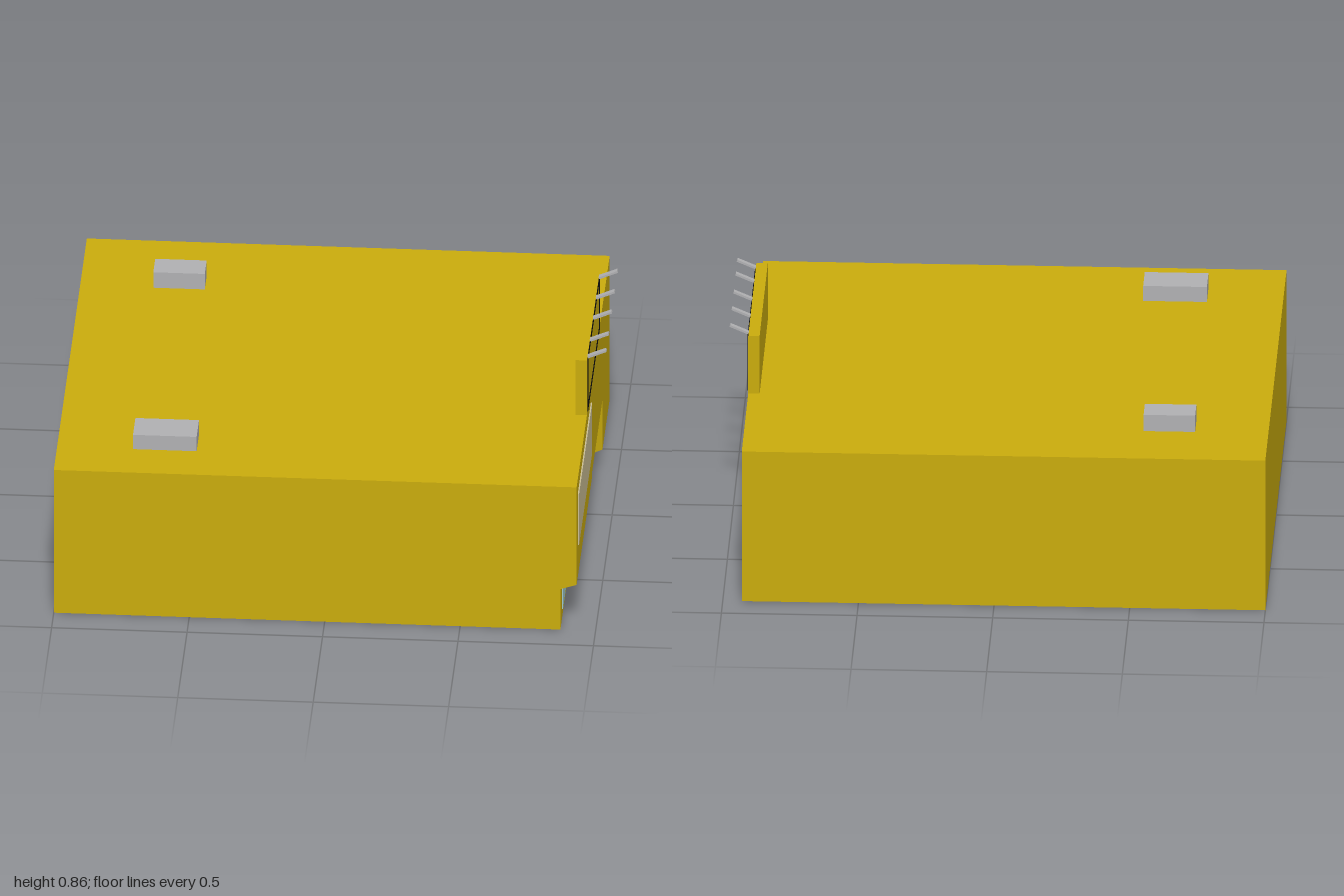
import * as THREE from 'three';

const material = (name, color) => {
  const m = new THREE.MeshStandardMaterial({ color });
  m.name = name;
  return m;
};

export function createModel() {
  const group = new THREE.Group();
  const mustard = material('mustard wall', 0xc9ab0d);
  const beige = material('beige panel', 0xc9bd93);
  const glass = material('pale blue glass', 0xa1c9c9);
  const grey = material('grey metal', 0xb0b0b2);
  const black = material('black trim', 0x0a0a0a);

  const add = (name, geometry, mat) => {
    const mesh = new THREE.Mesh(geometry, mat);
    mesh.name = name;
    group.add(mesh);
    return mesh;
  };
  // Box given by its lower and upper limits on each axis
  const block = (name, mat, [x0, x1], [y0, y1], [z0, z1]) => {
    const mesh = add(name, new THREE.BoxGeometry(x1 - x0, y1 - y0, z1 - z0), mat);
    mesh.position.set((x0 + x1) / 2, (y0 + y1) / 2, (z0 + z1) / 2);
    return mesh;
  };

  const inner = 0.87, outer = 0.93, roof = 0.6, half = 0.885;

  // Facade section with slanted ends and underside; each pair is [inner, outer]
  const facade = (name, front, back, bottom) => {
    const g = new THREE.BoxGeometry(1, 1, 1);
    const p = g.attributes.position;
    for (let i = 0; i < p.count; i++) {
      const k = p.getX(i) > 0 ? 1 : 0;
      const y = p.getY(i) > 0 ? roof : bottom[k];
      const z = p.getZ(i) > 0 ? front[k] : back[k];
      p.setXYZ(i, k ? outer : inner, y, z);
    }
    g.computeVertexNormals();
    add(name, g, mustard);
  };

  // Building mass and the facade overhanging the recessed shopfront
  block('mainBuilding', mustard, [-1, inner], [0, roof], [-half, half]);
  facade('lowOverhang', [half, half], [0, 0.055], [0.17, 0.19]);
  facade('highOverhang', [0, 0.055], [-0.44, -0.495], [0.19, 0.21]);
  facade('cornerPier', [-0.44, -0.495], [-half, -half], [0, 0]);

  // Windows and wall panel
  block('smallWindow', glass, [inner, inner + 0.004], [0.04, 0.135], [0.5, 0.8]);
  block('shopWindow', glass, [inner, inner + 0.004], [0.002, 0.12], [-0.438, 0.18]);
  block('wallPanel', beige, [outer, outer + 0.005], [0.325, 0.54], [0.125, 0.825]);

  // Rooftop sign board with a thin border
  block('signBoard', mustard, [0.888, outer], [roof, 0.83], [-0.345, 0.333]);
  const rect = (path, a, b, c, d) =>
    path.moveTo(a, b).lineTo(c, b).lineTo(c, d).lineTo(a, d).closePath();
  const border = new THREE.Shape();
  rect(border, -0.314, 0.605, 0.33, 0.826);
  const hole = new THREE.Path();
  rect(hole, -0.304, 0.616, 0.32, 0.816);
  border.holes.push(hole);
  const frame = add('signBorder',
    new THREE.ExtrudeGeometry(border, { depth: 0.003, bevelEnabled: false }), black);
  frame.rotation.y = Math.PI / 2;
  frame.position.x = outer;

  // Tilted sign lamps
  for (const z of [0.297, 0.17, 0.003, -0.152, -0.308]) {
    const lamp = add('signLamp', new THREE.BoxGeometry(0.074, 0.008, 0.02), grey);
    lamp.position.set(0.965, 0.843, z);
    lamp.rotation.z = Math.atan2(0.03, 0.07);
  }

  // Rooftop units
  block('rearRoofUnit', grey, [-0.73, -0.54], [roof, 0.665], [-0.63, -0.527]);
  block('frontRoofUnit', grey, [-0.72, -0.485], [roof, 0.66], [0.577, 0.706]);

  return group;
}
